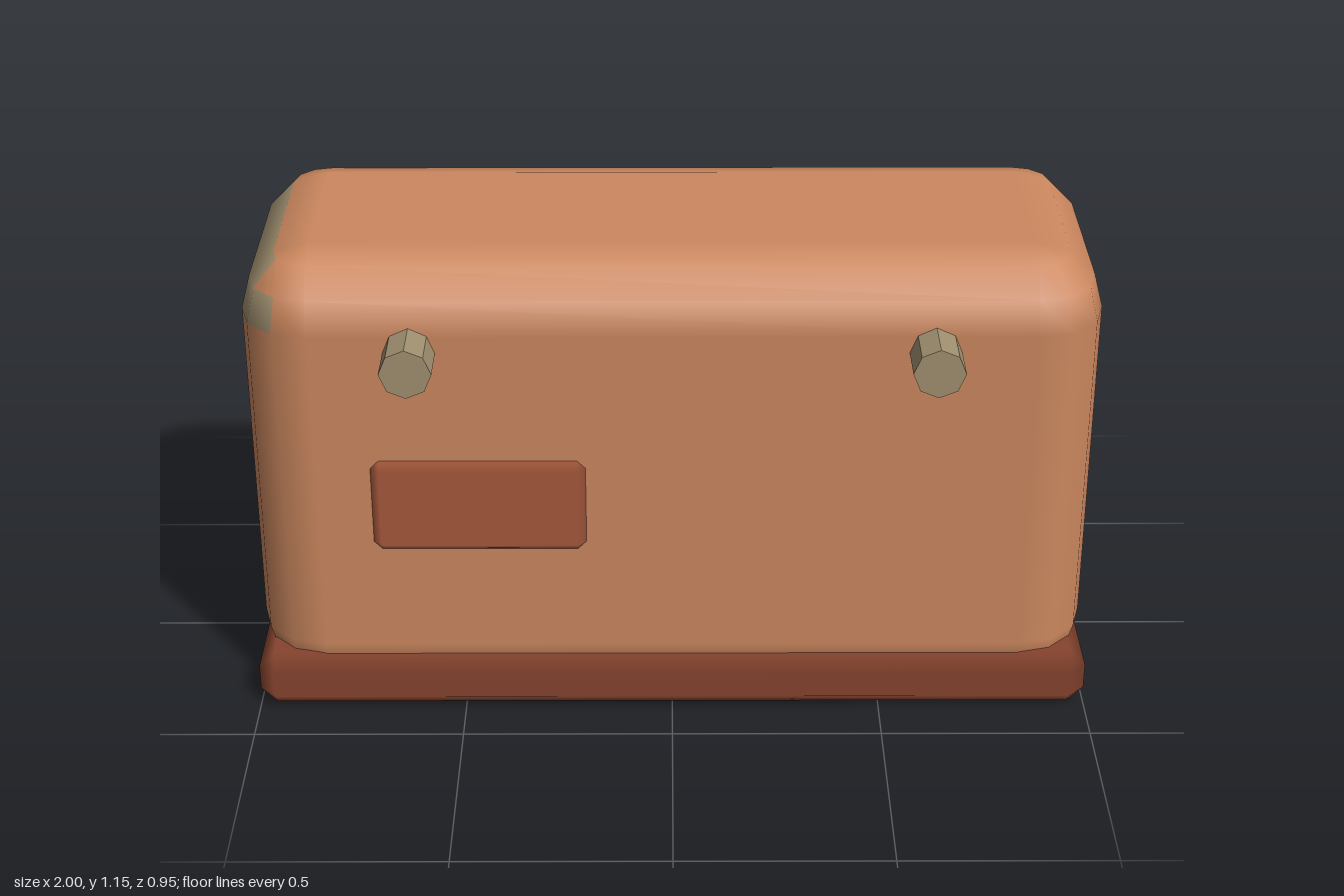
import * as THREE from 'three';

const mat = (name, color) => new THREE.MeshStandardMaterial({ name, color });

// Rounded box between two corners: rings of corner arcs with n steps per quarter turn.
// isAccent(row, column) picks the faces that take the second material.
function roundedBox(min, max, r, n, isAccent = () => false) {
  const mid = min.map((v, i) => (v + max[i]) / 2);
  const half = min.map((v, i) => (max[i] - v) / 2 - r);
  const pos = [], nor = [], main = [], accent = [];
  const quarter = Math.PI / 2, cols = 4 * (n + 1), rows = 2 * (n + 1);
  for (let i = 0; i < rows; i++) {
    const upper = i > n;
    const elev = (upper ? (i - n - 1) / n : i / n - 1) * quarter;
    for (let q = 0; q < 4; q++) {
      for (let s = 0; s <= n; s++) {
        const az = (q + s / n) * quarter;
        const d = [Math.cos(elev) * Math.cos(az), Math.sin(elev), Math.cos(elev) * Math.sin(az)];
        const sign = [q === 0 || q === 3 ? 1 : -1, upper ? 1 : -1, q < 2 ? 1 : -1];
        nor.push(...d);
        pos.push(...d.map((v, k) => mid[k] + sign[k] * half[k] + v * r));
      }
    }
  }
  for (let i = 0; i < rows - 1; i++) {
    for (let j = 0; j < cols; j++) {
      const a = i * cols + j, b = i * cols + (j + 1) % cols;
      (isAccent(i, j) ? accent : main).push(a, a + cols, b + cols, a, b + cols, b);
    }
  }
  // flat bottom and top
  const c = [0, 1, 2, 3].map(q => q * (n + 1)), t = c.map(v => v + (rows - 1) * cols);
  main.push(c[0], c[1], c[2], c[0], c[2], c[3], t[0], t[2], t[1], t[0], t[3], t[2]);

  const g = new THREE.BufferGeometry();
  g.setAttribute('position', new THREE.Float32BufferAttribute(pos, 3));
  g.setAttribute('normal', new THREE.Float32BufferAttribute(nor, 3));
  g.setIndex([...main, ...accent]);
  g.addGroup(0, main.length, 0);
  if (accent.length) g.addGroup(main.length, accent.length, 1);
  return g;
}

export function createModel() {
  const model = new THREE.Group();
  const copper = mat('copper', 0xcc885f);
  const darkRed = mat('darkRed', 0x87442f);
  const rust = mat('rust', 0xa8593d);
  const khaki = mat('khaki', 0xa09070);
  khaki.flatShading = true;
  const endKhaki = mat('endKhaki', 0xa09070);

  const add = (name, geometry, material) => {
    const mesh = new THREE.Mesh(geometry, material);
    mesh.name = name;
    model.add(mesh);
    return mesh;
  };

  // Body, with the right end face and the bend above it in khaki
  const endFaces = (row, col) =>
    (row === 3 && col === 7) ||
    ((row === 4 || row === 5) && col >= 6 && col <= 8) ||
    (row === 4 && (col === 5 || col === 9));
  add('body', roundedBox([-0.998, 0.005, -0.373], [0.998, 1.155, 0.367], 0.165, 3, endFaces),
    [copper, endKhaki]);

  // Bevelled base
  add('base', roundedBox([-1, 0, -0.405], [1, 0.14, 0.395], 0.038, 1), [darkRed]);

  // Raised plate on the front
  add('frontPlate', roundedBox([-0.705, 0.435, 0.341], [-0.2, 0.675, 0.387], 0.022, 1), [rust]);

  // Octagonal pins running through the body
  for (const [name, x] of [['leftPin', 0.6], ['rightPin', -0.6]]) {
    const pin = add(name, new THREE.CylinderGeometry(0.06, 0.06, 0.95, 8), khaki);
    pin.rotation.x = Math.PI / 2;
    pin.position.set(x, 0.952, 0);
  }
  return model;
}
